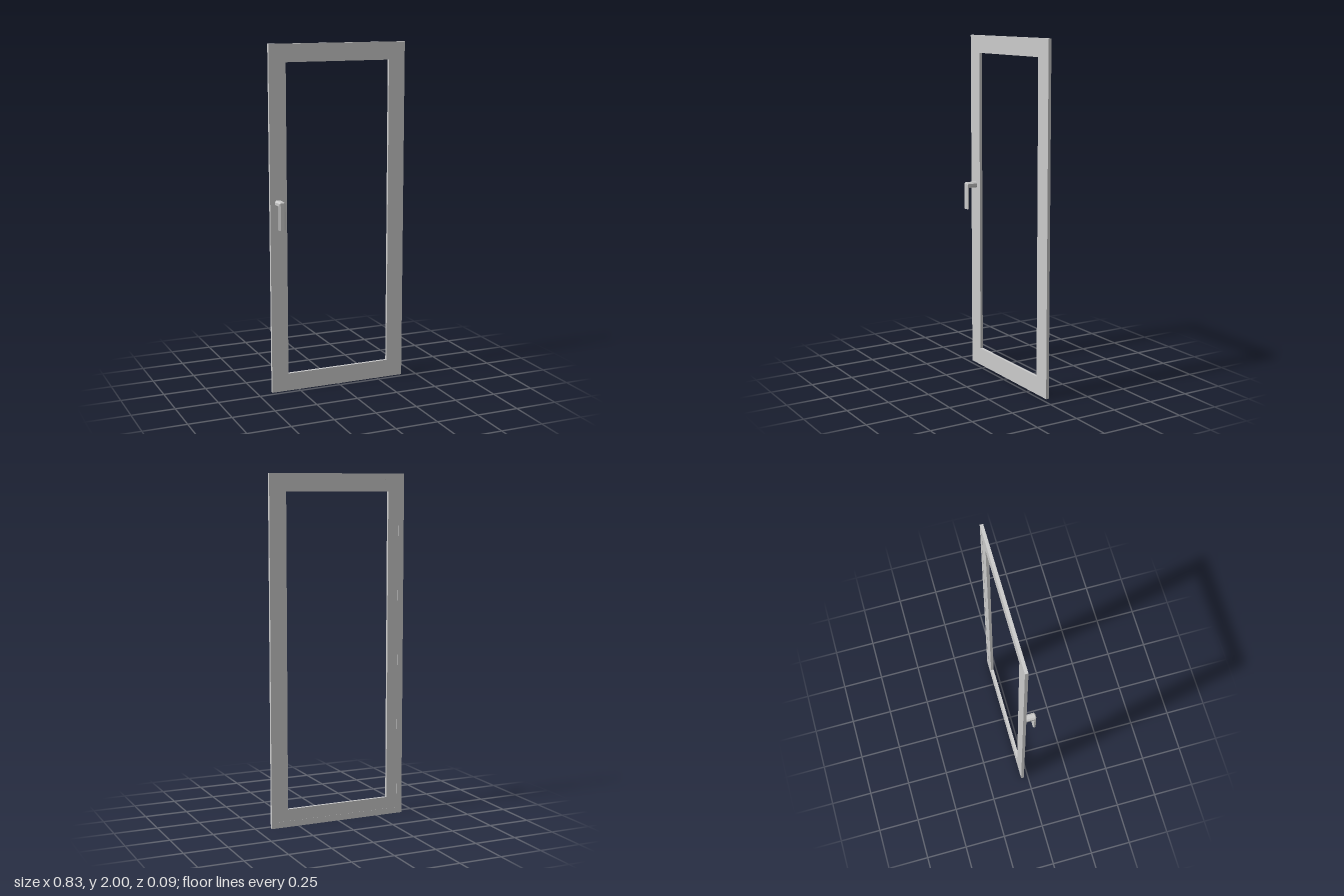
import * as THREE from 'three';

const material = new THREE.MeshStandardMaterial({ color: 0xcccccc, flatShading: true });

function addPart(group, name, geometry) {
  const mesh = new THREE.Mesh(geometry, material);
  mesh.name = name;
  group.add(mesh);
}

// Rectangular ring: outer and inner are [x0, y0, x1, y1], extruded from z0 to z1
function rectPath(path, [x0, y0, x1, y1]) {
  path.moveTo(x0, y0);
  path.lineTo(x1, y0);
  path.lineTo(x1, y1);
  path.lineTo(x0, y1);
  path.closePath();
  return path;
}

function ringGeometry(outer, inner, z0, z1) {
  const shape = rectPath(new THREE.Shape(), outer);
  shape.holes.push(rectPath(new THREE.Path(), inner));
  return new THREE.ExtrudeGeometry(shape, { depth: z1 - z0, bevelEnabled: false }).translate(0, 0, z0);
}

// Chamfered bar swept along an L; each station holds its outer and inner [y, z]
function handleGeometry(cx) {
  const section = [[0.011, 1], [0.02, 0.75], [0.02, 0.25], [0.011, 0],
    [-0.011, 0], [-0.02, 0.25], [-0.02, 0.75], [-0.011, 1]];
  const stations = [
    { outer: [1.13, -0.026], inner: [1.097, -0.026] },
    { outer: [1.13, 0.038], inner: [1.097, 0.024] },
    { outer: [1.125, 0.043], inner: [1.095, 0.025] },
    { outer: [0.97, 0.043], inner: [0.97, 0.025] },
  ];
  const positions = [];
  const index = [];
  const n = section.length;
  for (const { outer, inner } of stations) {
    for (const [x, s] of section) {
      positions.push(cx + x,
        THREE.MathUtils.lerp(inner[0], outer[0], s),
        THREE.MathUtils.lerp(inner[1], outer[1], s));
    }
  }
  for (let i = 0; i < stations.length - 1; i++) {
    for (let k = 0; k < n; k++) {
      const a = i * n + k, b = i * n + (k + 1) % n;
      index.push(a, a + n, b, b, a + n, b + n);
    }
  }
  // End caps
  const last = (stations.length - 1) * n;
  for (let k = 1; k < n - 1; k++) {
    index.push(0, k, k + 1);
    index.push(last, last + k + 1, last + k);
  }
  const geometry = new THREE.BufferGeometry();
  geometry.setAttribute('position', new THREE.Float32BufferAttribute(positions, 3));
  geometry.setIndex(index);
  geometry.computeVertexNormals();
  return geometry;
}

export function createModel() {
  const group = new THREE.Group();
  group.name = 'windowSash';

  const outer = [-0.415, 0, 0.415, 2];
  const seam = [-0.38, 0.035, 0.38, 1.965];
  const opening = [-0.315, 0.104, 0.315, 1.898];

  // Main frame, with a slim rim around the edge of its back
  addPart(group, 'frame', ringGeometry(outer, opening, -0.043, -0.026));
  addPart(group, 'backRim', ringGeometry(outer, seam, -0.044, -0.043));

  // Lever handle on the front of one stile
  addPart(group, 'handle', handleGeometry(-0.367));

  return group;
}
